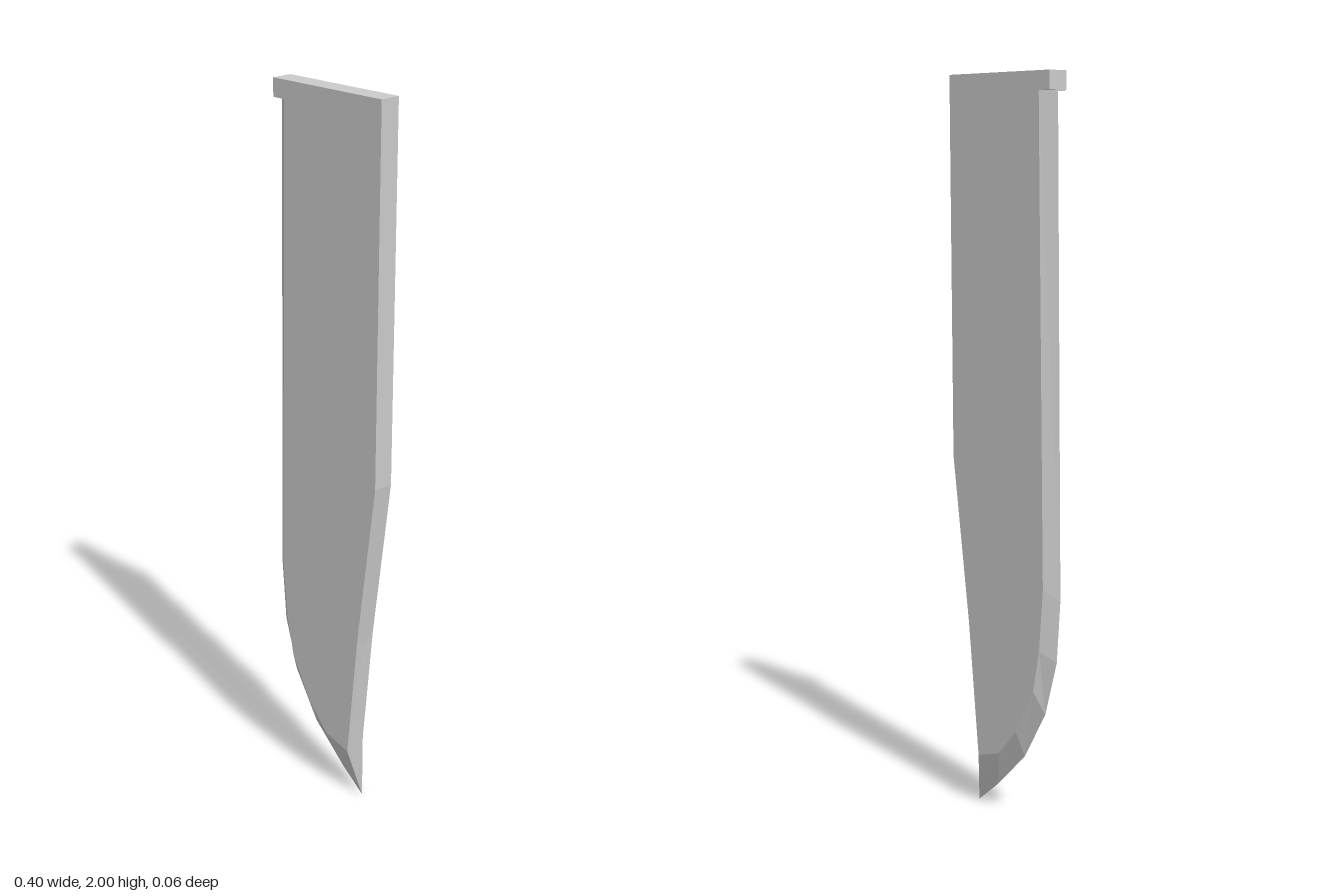
import * as THREE from 'three';

const HALF = 0.03; // half thickness

// Each row: corner of the flat side face (x, y), then the matching point on the mid-plane (x, y)
const SECTION = [
  // top collar
  [-0.185, 2, -0.185, 2],
  [-0.185, 1.95, -0.185, 1.95],
  // cutting edge
  [-0.145, 1.95, -0.185, 1.95],
  [-0.165, 0.65, -0.201, 0.62],
  [-0.151, 0.48, -0.188, 0.45],
  [-0.128, 0.365, -0.145, 0.30],
  [-0.06, 0.24, -0.065, 0.165],
  [0.005, 0.165, 0.045, 0.06],
  // tip
  [0.09, 0.14, 0.12, 0],
  // clipped spine bevel
  [0.128, 0.51, 0.124, 0.48],
  // square spine
  [0.19, 0.97, 0.19, 0.97],
  [0.2, 2, 0.2, 2],
];

function bladeGeometry() {
  const positions = [];
  // adds a triangle to the front half and its mirror to the back half
  const addMirrored = (a, b, c) => {
    const area = new THREE.Triangle(a, b, c).getArea();
    if (area < 1e-7) return;
    for (const p of [a, b, c]) positions.push(p.x, p.y, p.z);
    for (const p of [a, c, b]) positions.push(p.x, p.y, -p.z);
  };
  const face = SECTION.map(([x, y]) => new THREE.Vector3(x, y, HALF));
  const mid = SECTION.map(([, , x, y]) => new THREE.Vector3(x, y, 0));

  // flat sides
  const outline = SECTION.map(([x, y]) => new THREE.Vector2(x, y));
  for (const [a, b, c] of THREE.ShapeUtils.triangulateShape(outline, [])) {
    addMirrored(face[a], face[b], face[c]);
  }
  // bevels, spine, collar ledge and top
  for (let i = 0; i < face.length; i++) {
    const j = (i + 1) % face.length;
    addMirrored(face[i], mid[i], mid[j]);
    addMirrored(face[i], mid[j], face[j]);
  }

  const geometry = new THREE.BufferGeometry();
  geometry.setAttribute('position', new THREE.Float32BufferAttribute(positions, 3));
  geometry.computeVertexNormals();
  return geometry;
}

export function createModel() {
  const group = new THREE.Group();
  group.name = 'knifeBlade';
  const material = new THREE.MeshStandardMaterial({ color: 0xcccccc, flatShading: true });
  const blade = new THREE.Mesh(bladeGeometry(), material);
  blade.name = 'blade';
  group.add(blade);
  return group;
}
